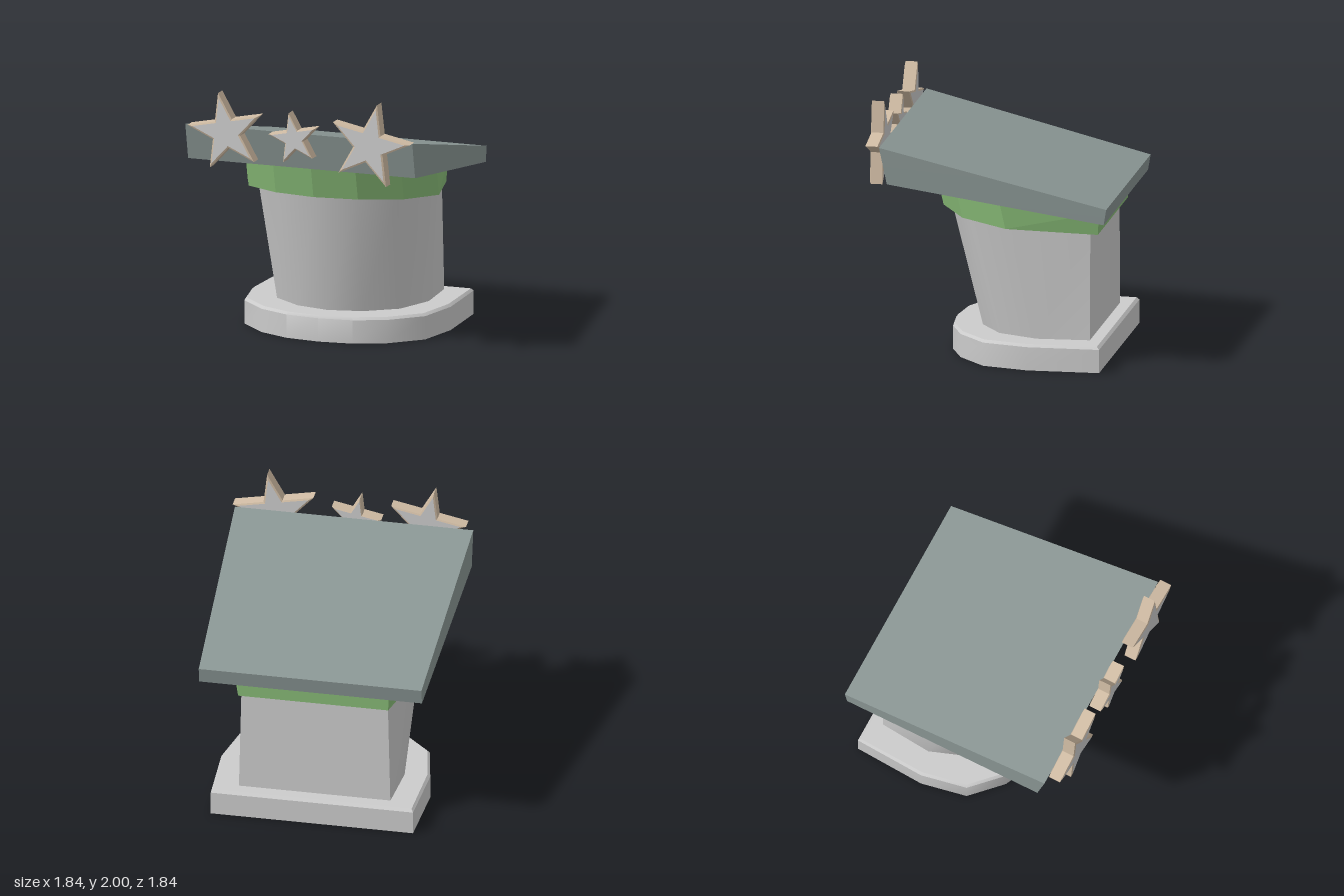
import * as THREE from 'three';
import { toCreasedNormals } from 'three/addons/utils/BufferGeometryUtils.js';

const paint = (color) => new THREE.MeshStandardMaterial({ color, side: THREE.DoubleSide });
const grey = paint(0xcccccc);
const slate = paint(0x8a9694);
const green = paint(0x88bb77);
const tan = paint(0xd0bca4);

// Skin a stack of counterclockwise rings; optional fan caps at either end.
function loft(rings, { sides = true, start = false, end = false, crease = 0.1 } = {}) {
  const pts = [];
  const n = rings[0].length;
  const first = rings[0], last = rings[rings.length - 1];
  const centre = (r) => r.reduce((s, p) => s.add(p), new THREE.Vector3()).divideScalar(n);
  const c0 = centre(first), c1 = centre(last);
  for (let i = 0; i < n; i++) {
    const j = (i + 1) % n;
    if (sides) {
      for (let k = 0; k + 1 < rings.length; k++) {
        const a = rings[k], b = rings[k + 1];
        pts.push(a[i], a[j], b[j], a[i], b[j], b[i]);
      }
    }
    if (start) pts.push(c0, first[j], first[i]);
    if (end) pts.push(c1, last[i], last[j]);
  }
  const geo = new THREE.BufferGeometry().setFromPoints(pts);
  geo.computeVertexNormals();
  return toCreasedNormals(geo, crease);
}

// Outline with a flat back, straight sides and a faceted bow at the front.
// Bow points are fractions of the half width and of the bow depth.
const shallowBow = [[1, 0], [0.81, 0.57], [0.43, 0.89]];
const fullBow = [[1, 0], [0.91, 0.5], [0.63, 0.81], [0.33, 0.96]];

function bowRing(bow, halfX, backX, back, side, front, height) {
  const right = bow.map(([x, f]) => [x * halfX, side + f * (front - side)]);
  const left = right.map(([x, z]) => [-x, z]);
  const outline = [[backX, back], [-backX, back], ...left, [0, front], ...right.reverse()];
  return outline.map(([x, z]) => new THREE.Vector3(x - 0.01, height(z), z));
}

function starRing(radius, angle, z) {
  return Array.from({ length: 10 }, (_, i) => {
    const r = i % 2 ? radius * 0.382 : radius;
    const a = angle + (i * Math.PI) / 5;
    return new THREE.Vector3(r * Math.cos(a), r * Math.sin(a), z);
  });
}

function part(parent, name, geo, material) {
  const mesh = new THREE.Mesh(geo, material);
  mesh.name = name;
  parent.add(mesh);
}

export function createModel() {
  const model = new THREE.Group();
  model.name = 'podium';

  // Hollow plinth, open below, with a small chamfer around its top
  part(model, 'base', loft([
    bowRing(fullBow, 0.8, 0.775, -0.85, -0.3, 0.4, () => 0),
    bowRing(fullBow, 0.8, 0.775, -0.85, -0.3, 0.4, () => 0.18),
    bowRing(fullBow, 0.78, 0.76, -0.83, -0.3, 0.385, () => 0.2),
  ], { end: true, crease: 0.66 }), grey);

  // Pedestal: bowed front leaning forward, sides narrowing to an upright back
  part(model, 'pedestal', loft([
    bowRing(shallowBow, 0.61, 0.58, -0.74, -0.34, 0.2, () => 0.19),
    bowRing(shallowBow, 0.69, 0.56, -0.74, -0.12, 0.44, (z) => 1.06 + 0.092 * (z + 0.8)),
  ], { crease: 0.66 }), grey);

  // Faceted collar under the top
  part(model, 'collar', loft([
    bowRing(shallowBow, 0.77, 0.575, -0.8, -0.13, 0.5, (z) => 1.02 + 0.092 * (z + 0.8)),
    bowRing(shallowBow, 0.77, 0.58, -0.81, -0.08, 0.56, (z) => 1.19 + 0.1515 * (z + 0.81)),
  ], { start: true }), green);

  // Sloping top: a hollow tray turned over, wider at the front
  const trayRing = (back, backY, front, frontY) => [
    [0.853, backY, back], [-0.853, backY, back],
    [-0.913, frontY, front], [0.913, frontY, front],
  ].map(([x, y, z]) => new THREE.Vector3(x - 0.01, y, z));
  part(model, 'slopingTop', loft([
    trayRing(-0.9, 1.17, 0.75, 1.42),
    trayRing(-0.92, 1.29, 0.81, 1.7),
  ], { end: true }), slate);

  // Row of stars on the front edge: [name, x, y, radius, tilt in degrees]
  const stars = [
    ['rightStar', -0.56, 1.683, 0.308, 101.5],
    ['middleStar', -0.014, 1.678, 0.203, 101.5],
    ['leftStar', 0.592, 1.675, 0.332, 78.5],
  ];
  for (const [name, x, y, radius, tilt] of stars) {
    const star = new THREE.Group();
    star.name = name;
    star.position.set(x, y, 0.865);
    const a = THREE.MathUtils.degToRad(tilt);
    const rings = [[0.87, -0.052], [1, -0.046], [1, 0.046], [0.87, 0.052]]
      .map(([s, z]) => starRing(radius * s, a, z));
    part(star, 'starEdge', loft(rings), tan);
    part(star, 'starFaces', loft(rings, { sides: false, start: true, end: true }), grey);
    model.add(star);
  }
  return model;
}
